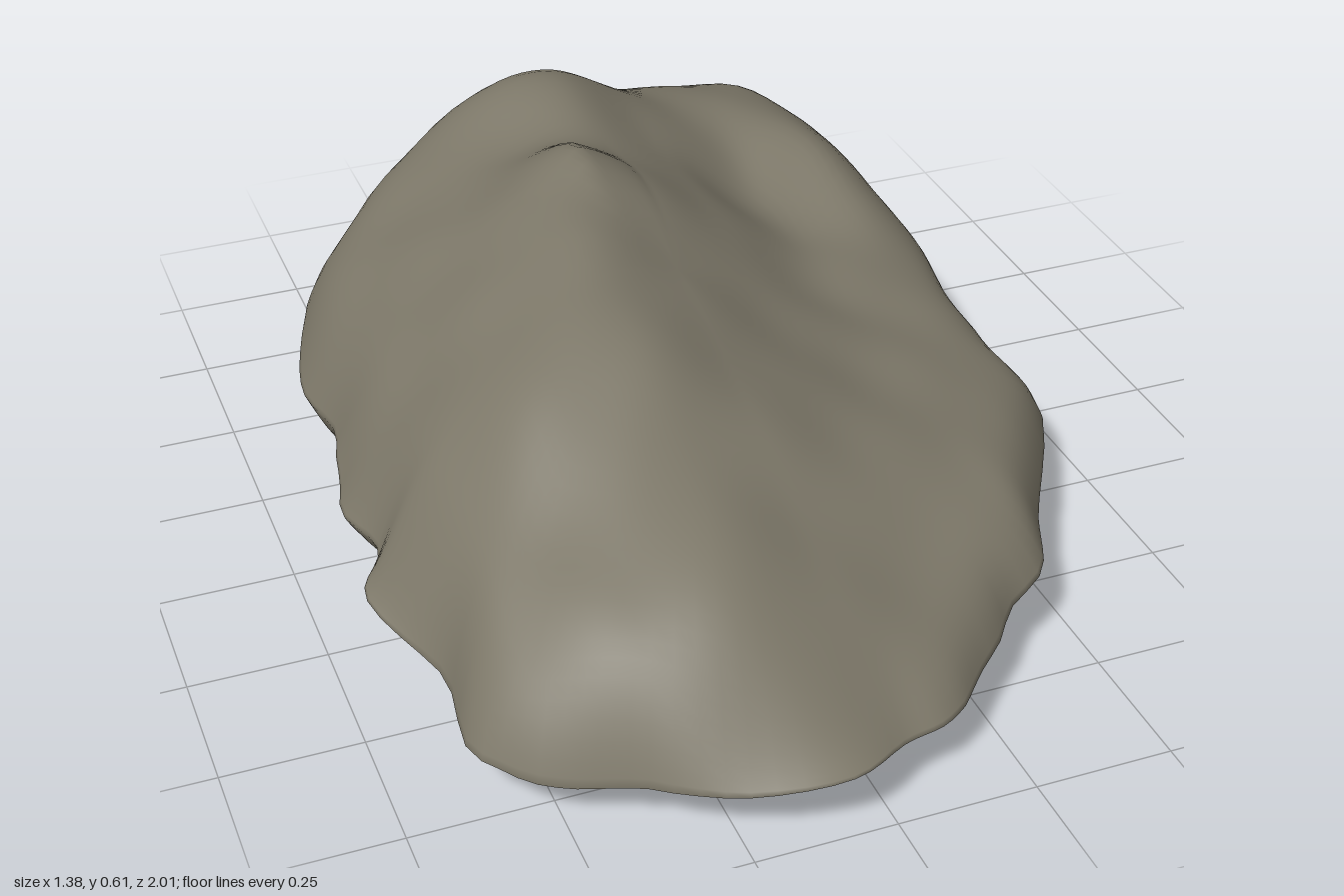
import * as THREE from 'three';

// Plan outline of the rim, anticlockwise from the front tip: x, rim height, z
const RIM = [
  [-0.08, 0.12, 1.0], [0.04, 0.11, 0.94], [0.12, 0.11, 0.92], [0.2, 0.11, 0.86], [0.32, 0.12, 0.73],
  [0.45, 0.15, 0.62], [0.5, 0.15, 0.5], [0.59, 0.14, 0.34], [0.67, 0.13, 0.2], [0.665, 0.13, 0],
  [0.66, 0.15, -0.15], [0.685, 0.18, -0.36], [0.67, 0.19, -0.5], [0.68, 0.2, -0.78], [0.63, 0.25, -0.92],
  [0.51, 0.31, -1.0], [0.3, 0.33, -0.99], [0.12, 0.33, -0.97], [0.02, 0.31, -0.95], [-0.1, 0.29, -0.95],
  [-0.25, 0.25, -0.89], [-0.42, 0.21, -0.77], [-0.56, 0.18, -0.62], [-0.6, 0.17, -0.5], [-0.63, 0.16, -0.35],
  [-0.62, 0.17, -0.15], [-0.66, 0.15, 0.03], [-0.64, 0.16, 0.2], [-0.69, 0.15, 0.3], [-0.62, 0.12, 0.5],
  [-0.61, 0.09, 0.72], [-0.5, 0.08, 0.81], [-0.4, 0.09, 0.87], [-0.25, 0.1, 0.96],
];

// Heights of the upper surface: rows run back to front, columns run from -x to +x
const HEIGHTS = [
  [0.18, 0.22, 0.27, 0.34, 0.39, 0.39, 0.37, 0.34, 0.22],
  [0.18, 0.28, 0.4, 0.51, 0.55, 0.46, 0.39, 0.36, 0.25],
  [0.16, 0.31, 0.43, 0.5, 0.52, 0.44, 0.33, 0.37, 0.25],
  [0.15, 0.33, 0.47, 0.57, 0.55, 0.44, 0.33, 0.31, 0.24],
  [0.15, 0.34, 0.49, 0.56, 0.49, 0.39, 0.31, 0.27, 0.22],
  [0.15, 0.35, 0.48, 0.51, 0.44, 0.35, 0.29, 0.25, 0.19],
  [0.14, 0.29, 0.38, 0.41, 0.36, 0.3, 0.26, 0.22, 0.16],
  [0.12, 0.21, 0.29, 0.32, 0.26, 0.21, 0.18, 0.15, 0.12],
  [0.1, 0.1, 0.12, 0.13, 0.13, 0.12, 0.11, 0.1, 0.1],
];

// Smooth interpolation through evenly spaced samples
function cubic(values, t) {
  const n = values.length - 1;
  const i = Math.min(Math.floor(t), n - 1), f = t - i;
  const at = (k) => values[Math.max(0, Math.min(n, k))];
  const [a, b, c, d] = [at(i - 1), at(i), at(i + 1), at(i + 2)];
  return b + 0.5 * f * (c - a + f * (2 * a - 5 * b + 4 * c - d + f * (3 * (b - c) + d - a)));
}

// Upper surface, with a sharper crest at the summit
function topHeight(x, z) {
  const u = THREE.MathUtils.clamp((x + 0.7) / 0.175, 0, 8);
  const v = THREE.MathUtils.clamp((z + 1) / 0.25, 0, 8);
  const crest = 0.045 * Math.max(0, 1 - Math.abs(x + 0.09) / 0.12) * Math.exp(-(((z + 0.3) / 0.12) ** 2));
  return cubic(HEIGHTS.map((row) => cubic(row, u)), v) + crest;
}

// Shallow underside, lowest right of centre and rising faster towards +x
function floorHeight(x, z) {
  const dx = x - 0.1, dz = z + 0.06;
  return 0.065 * Math.hypot(Math.min(dx, 0), dz) + 0.3 * Math.max(dx, 0) ** 2;
}

// Gentle lumps that break up the surface
function lumps(x, z) {
  const a = Math.sin(9 * x + 4 * z + 2 * Math.sin(5 * z));
  const b = Math.sin(11 * z - 6 * x + 1.7 * Math.sin(8 * x));
  const c = Math.sin(23 * x + 1.3) * Math.sin(19 * z + 3 * x);
  return 0.004 * a * b + 0.003 * c;
}

function rockGeometry() {
  const AROUND = 144, RINGS = 30;
  const curve = new THREE.CatmullRomCurve3(RIM.map((p) => new THREE.Vector3(...p)), true);
  const edge = curve.getPoints(AROUND).slice(0, AROUND);
  const positions = [], indices = [];

  // Rings spread from the crown to the rim, then close in again underneath
  for (let k = 0; k <= 2 * RINGS; k++) {
    const t = k <= RINGS ? k / RINGS : 2 - k / RINGS;
    const s = 1 - Math.pow(1 - t, 1.5);
    edge.forEach((p, j) => {
      // Small chips along the rim
      const chip = 1 + 0.007 * Math.sin(j * 0.96 + 2 * Math.sin(j * 0.35)) * Math.pow(s, 10);
      const x = p.x * s * chip, z = p.z * s * (Math.abs(p.z) > 0.9 ? 1 : chip);
      const y = k <= RINGS
        ? THREE.MathUtils.lerp(topHeight(x, z) + lumps(x, z), p.y, Math.pow(s, 24))
        : THREE.MathUtils.lerp(floorHeight(x, z), p.y, Math.pow(s, 15));
      positions.push(x, y, z);
    });
  }

  const id = (k, j) => k * AROUND + (k === 0 || k === 2 * RINGS ? 0 : j % AROUND);
  for (let k = 0; k < 2 * RINGS; k++) {
    for (let j = 0; j < AROUND; j++) {
      const a = id(k, j), b = id(k + 1, j), c = id(k + 1, j + 1), d = id(k, j + 1);
      if (b !== c) indices.push(a, b, c);
      if (a !== d) indices.push(a, c, d);
    }
  }

  const geometry = new THREE.BufferGeometry();
  geometry.setAttribute('position', new THREE.Float32BufferAttribute(positions, 3));
  geometry.setIndex(indices);
  geometry.computeVertexNormals();
  return geometry;
}

export function createModel() {
  const stone = new THREE.MeshStandardMaterial({ color: 0x7c7768 });
  stone.name = 'stone';
  const rock = new THREE.Mesh(rockGeometry(), stone);
  rock.name = 'rock';
  const group = new THREE.Group();
  group.name = 'boulder';
  group.add(rock);
  return group;
}
